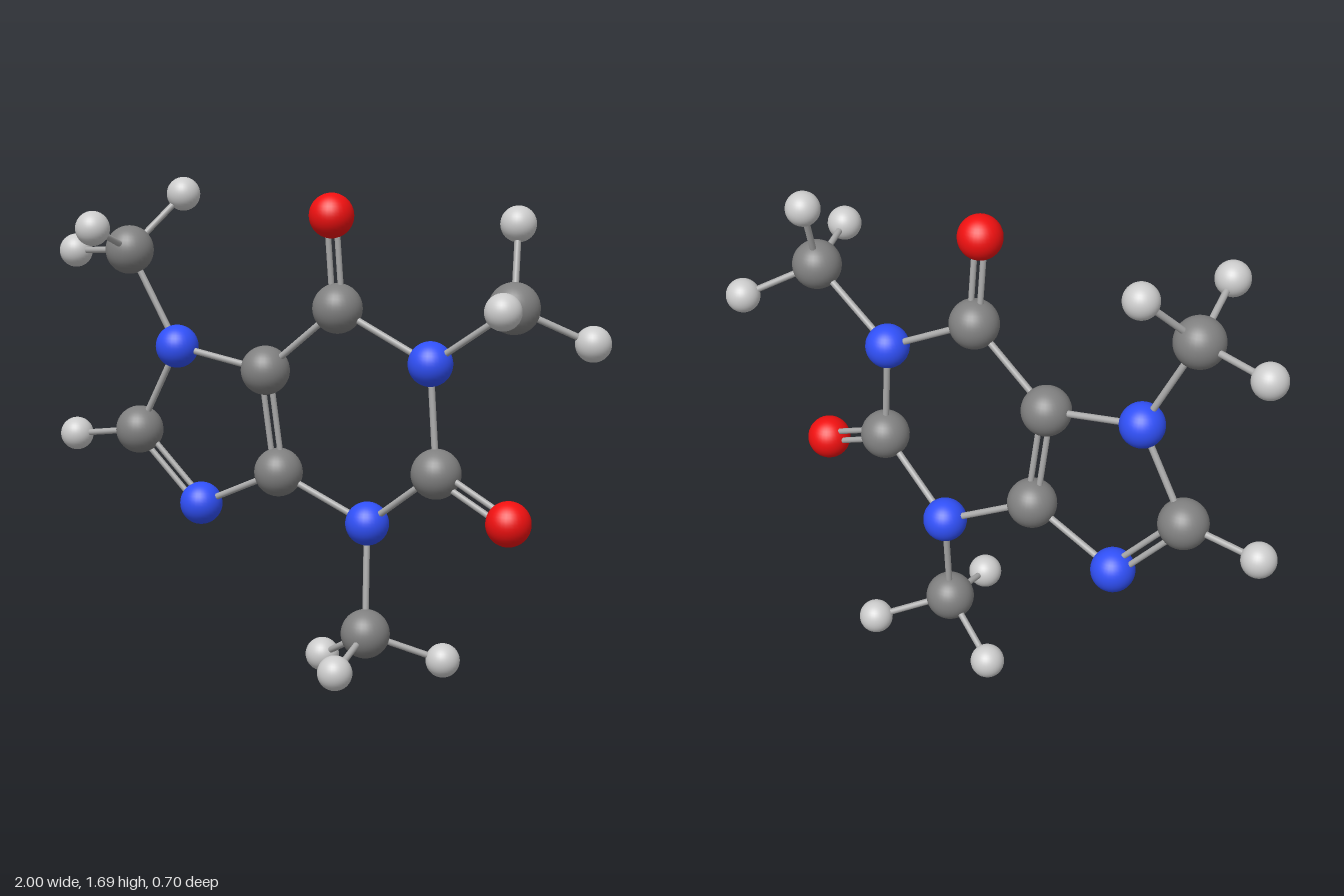
import * as THREE from 'three';

// Element styles: radius, colour, plain name
const ELEMENTS = {
  C: { radius: 0.083, color: 0x808080, name: 'carbonAtom' },
  N: { radius: 0.074, color: 0x3050f8, name: 'nitrogenAtom' },
  O: { radius: 0.074, color: 0xf01010, name: 'oxygenAtom' },
  H: { radius: 0.058, color: 0xcccccc, name: 'hydrogenAtom' },
};

// Atoms: element, x, y, z
const ATOMS = {
  // six-sided ring
  n1: ['N', 0.435, 1.12, -0.14],
  c2: ['C', 0.463, 0.762, -0.137],
  n3: ['N', 0.171, 0.554, -0.177],
  c4: ['C', -0.136, 0.709, -0.095],
  c5: ['C', -0.165, 1.06, -0.06],
  c6: ['C', 0.118, 1.286, -0.073],
  // five-sided ring
  n7: ['N', -0.508, 1.12, -0.018],
  c8: ['C', -0.676, 0.815, -0.015],
  n9: ['N', -0.452, 0.568, -0.074],
  // side atoms
  o2: ['O', 0.741, 0.633, -0.124],
  o6: ['O', 0.11, 1.59, -0.048],
  h8: ['H', -0.942, 0.778, 0.012],
  // three end groups, each with three hydrogens
  m1: ['C', 0.743, 1.321, -0.133],
  m1a: ['H', 0.7, 1.577, -0.228],
  m1b: ['H', 0.847, 1.34, 0.121],
  m1c: ['H', 0.939, 1.206, -0.294],
  m3: ['C', 0.2, 0.188, -0.125],
  m3a: ['H', -0.03, 0.062, -0.206],
  m3b: ['H', 0.25, 0.121, 0.132],
  m3c: ['H', 0.41, 0.093, -0.282],
  m7: ['C', -0.666, 1.448, 0.039],
  m7a: ['H', -0.567, 1.633, -0.136],
  m7b: ['H', -0.612, 1.538, 0.295],
  m7c: ['H', -0.938, 1.43, 0.004],
};

const SINGLE = ['n1 c2', 'c2 n3', 'n3 c4', 'c5 c6', 'c6 n1', 'c5 n7', 'n7 c8', 'n9 c4',
  'c8 h8', 'n1 m1', 'n3 m3', 'n7 m7'];
for (const m of ['m1', 'm3', 'm7']) for (const h of 'abc') SINGLE.push(`${m} ${m}${h}`);
const DOUBLE = ['c4 c5', 'c8 n9', 'c2 o2', 'c6 o6'];

// Normal of the slightly tilted ring plane
const PLANE_NORMAL = new THREE.Vector3(0.12, -0.1, 1).normalize();

export function createModel() {
  const model = new THREE.Group();
  model.name = 'molecule';

  // Atoms
  const styles = {};
  for (const [key, e] of Object.entries(ELEMENTS)) {
    styles[key] = {
      geometry: new THREE.SphereGeometry(e.radius, 32, 20),
      material: new THREE.MeshStandardMaterial({ color: e.color }),
    };
  }
  const position = {};
  for (const [id, [element, x, y, z]] of Object.entries(ATOMS)) {
    const atom = new THREE.Mesh(styles[element].geometry, styles[element].material);
    atom.name = ELEMENTS[element].name;
    atom.position.set(x, y, z);
    position[id] = atom.position;
    model.add(atom);
  }

  // Bonds: thin rods between atom centres
  const bondMaterial = new THREE.MeshStandardMaterial({ color: 0xaaaaaa });
  const up = new THREE.Vector3(0, 1, 0);
  function addRod(a, b, radius, offset, name) {
    const along = b.clone().sub(a);
    const length = along.length();
    along.normalize();
    const side = along.clone().cross(PLANE_NORMAL).normalize();
    const rod = new THREE.Mesh(new THREE.CylinderGeometry(radius, radius, length, 16), bondMaterial);
    rod.name = name;
    rod.position.copy(a).add(b).multiplyScalar(0.5).addScaledVector(side, offset);
    rod.quaternion.setFromUnitVectors(up, along);
    model.add(rod);
  }
  for (const pair of SINGLE) {
    const [a, b] = pair.split(' ');
    addRod(position[a], position[b], 0.011, 0, 'singleBond');
  }
  // Double bonds: two parallel rods lying in the ring plane
  for (const pair of DOUBLE) {
    const [a, b] = pair.split(' ');
    for (const s of [-1, 1]) addRod(position[a], position[b], 0.01, s * 0.017, 'doubleBond');
  }

  return model;
}
